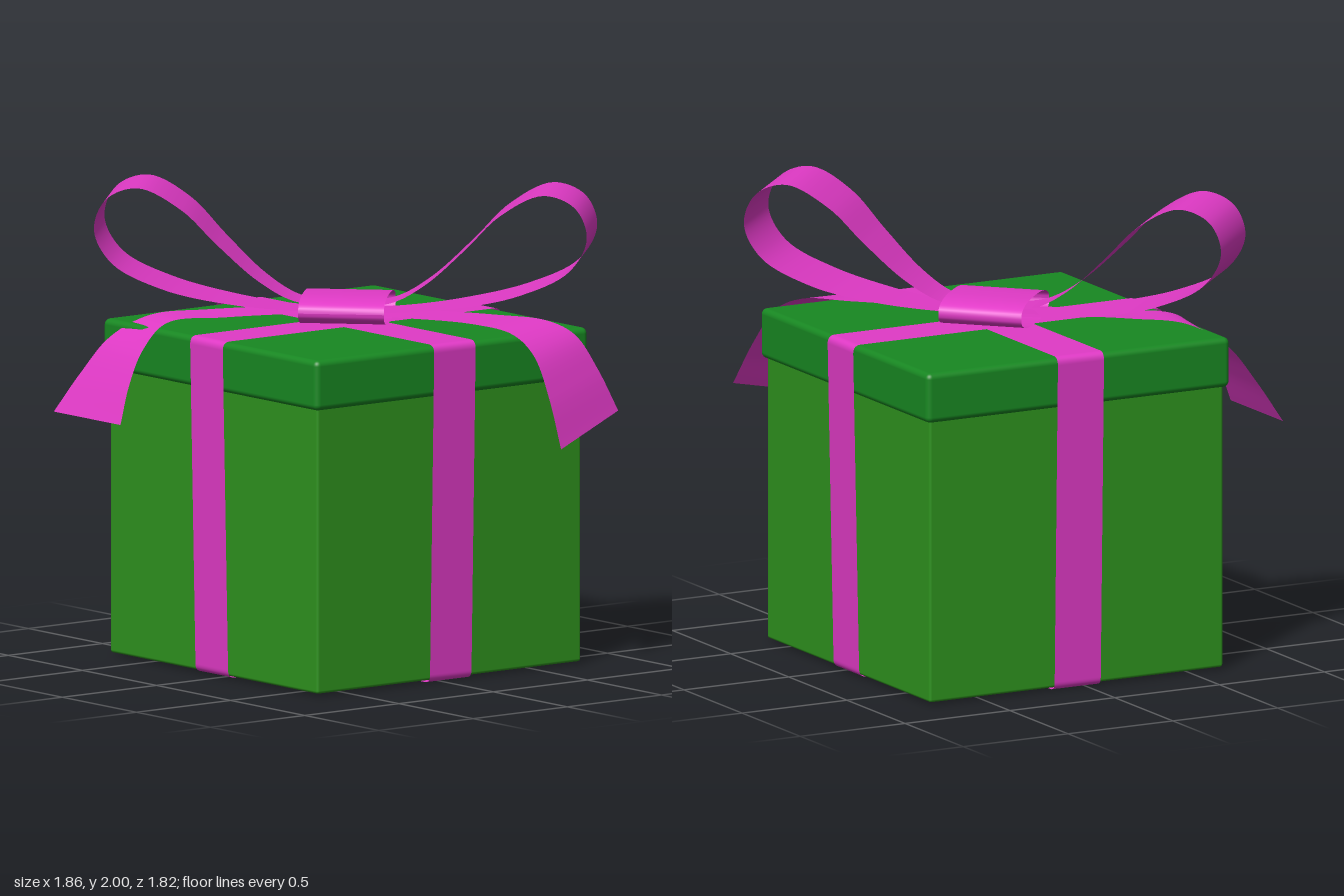
import * as THREE from 'three';
import { RoundedBoxGeometry } from 'three/addons/geometries/RoundedBoxGeometry.js';

const V = (x, y, z) => new THREE.Vector3(x, y, z);
const CX = -0.053, CZ = -0.045;

// Thin sheet spanned between two edges with equal point counts
function sheet(edgeA, edgeB) {
  const pos = [], idx = [];
  edgeA.forEach((a, i) => {
    const b = edgeB[i];
    pos.push(a.x, a.y, a.z, b.x, b.y, b.z);
    if (i) {
      const k = 2 * i;
      idx.push(k - 2, k - 1, k, k - 1, k + 1, k);
    }
  });
  const g = new THREE.BufferGeometry();
  g.setAttribute('position', new THREE.Float32BufferAttribute(pos, 3));
  g.setIndex(idx);
  g.computeVertexNormals();
  return g;
}

const smooth = (pts, n = 48) => new THREE.CatmullRomCurve3(pts.map(p => V(...p))).getPoints(n);

// Sheet following a 2D path in x-y, with a half width along z for every point
const extrudePath = (path, half) => sheet(
  path.map((p, i) => V(p.x, p.y, half(p, i))),
  path.map((p, i) => V(p.x, p.y, -half(p, i))));

export function createModel() {
  const group = new THREE.Group();
  const bodyMat = new THREE.MeshStandardMaterial({ color: 0x2e921e });
  const lidMat = new THREE.MeshStandardMaterial({ color: 0x188822 });
  const ribbonMat = new THREE.MeshStandardMaterial({ color: 0xe03ac6, side: THREE.DoubleSide });
  const add = (name, geo, mat, x = 0, y = 0, z = 0, ry = 0, parent = group) => {
    const m = new THREE.Mesh(geo, mat);
    m.name = name;
    m.position.set(x, y, z);
    m.rotation.y = ry;
    parent.add(m);
    return m;
  };

  // Box and lid
  add('boxBody', new RoundedBoxGeometry(1.4, 1.28, 1.4, 3, 0.012), bodyMat, CX, 0.65, CZ);
  add('lid', new RoundedBoxGeometry(1.445, 0.212, 1.445, 4, 0.025), lidMat, CX, 1.315, CZ);

  // Two crossing bands, slightly flared toward the lid
  const band = (name, ry, d) => {
    const b = 0.71, t = 0.738, lo = d, hi = 1.43 - d, r = 0.035;
    const s = new THREE.Shape();
    s.moveTo(0, lo);
    s.lineTo(b - r, lo);
    s.quadraticCurveTo(b, lo, b, lo + r);
    s.lineTo(t, hi - r);
    s.quadraticCurveTo(t, hi, t - r, hi);
    s.lineTo(r - t, hi);
    s.quadraticCurveTo(-t, hi, -t, hi - r);
    s.lineTo(-b, lo + r);
    s.quadraticCurveTo(-b, lo, r - b, lo);
    s.lineTo(0, lo);
    add(name, extrudePath(s.getPoints(8), () => 0.11), ribbonMat, CX, 0, CZ, ry);
  };
  band('sideToSideBand', 0, 0);
  band('frontToBackBand', Math.PI / 2, 0.004);

  // Bow loops, set diagonally across the lid
  const bow = new THREE.Group();
  bow.name = 'bow';
  bow.position.set(-0.063, 0, -0.053);
  bow.rotation.y = Math.PI / 4;
  group.add(bow);
  const loopPath = smooth([
    [0, 1.50, 0], [0.2, 1.52, 0], [0.35, 1.605, 0], [0.52, 1.76, 0], [0.67, 1.91, 0],
    [0.85, 2.0, 0], [0.985, 1.95, 0], [1.035, 1.82, 0], [0.96, 1.68, 0], [0.75, 1.575, 0],
    [0.47, 1.51, 0], [0.2, 1.48, 0], [0, 1.475, 0]], 96);
  const loopHalf = p => 0.08 + 0.105 * THREE.MathUtils.smoothstep(p.x, 0, 0.8);
  const loopGeo = extrudePath(loopPath, loopHalf);
  add('leftLoop', loopGeo, ribbonMat, 0, 0, 0, 0, bow);
  add('rightLoop', loopGeo, ribbonMat, 0, 0, 0, Math.PI, bow);

  // Knot: flattened sleeve wrapped round the middle of the bow
  const sleeve = [];
  for (let i = 0; i <= 48; i++) {
    const a = i / 48 * Math.PI * 2, c = Math.cos(a), s = Math.sin(a);
    sleeve.push(V(0.212 * Math.sign(c) * Math.abs(c) ** 0.8,
      1.49 + 0.06 * Math.sign(s) * Math.abs(s) ** 0.8, 0));
  }
  add('knot', extrudePath(sleeve, () => 0.18), ribbonMat, -0.05, 0, -0.05, -Math.PI / 4);

  // Loose tails draped over the lid edges
  add('leftTail', sheet(
    smooth([[-0.05, 1.48, -0.1], [0.05, 1.48, -0.2], [0.4, 1.47, -0.48], [0.6, 1.455, -0.61],
      [0.69, 1.40, -0.68], [0.75, 1.26, -0.75], [0.795, 1.08, -0.825]]),
    smooth([[0, 1.475, 0], [0.17, 1.47, -0.09], [0.5, 1.46, -0.29], [0.68, 1.43, -0.36],
      [0.78, 1.35, -0.39], [0.87, 1.18, -0.4], [0.937, 0.975, -0.41]])), ribbonMat);
  add('rightTail', sheet(
    smooth([[-0.1, 1.48, -0.08], [-0.25, 1.48, 0.08], [-0.45, 1.47, 0.38], [-0.58, 1.45, 0.58],
      [-0.67, 1.36, 0.72], [-0.74, 1.21, 0.82], [-0.81, 1.045, 0.908]]),
    smooth([[-0.02, 1.475, 0.02], [-0.1, 1.475, 0.17], [-0.26, 1.465, 0.43], [-0.39, 1.445, 0.64],
      [-0.42, 1.34, 0.74], [-0.4, 1.2, 0.83], [-0.36, 1.045, 0.908]])), ribbonMat);

  return group;
}
